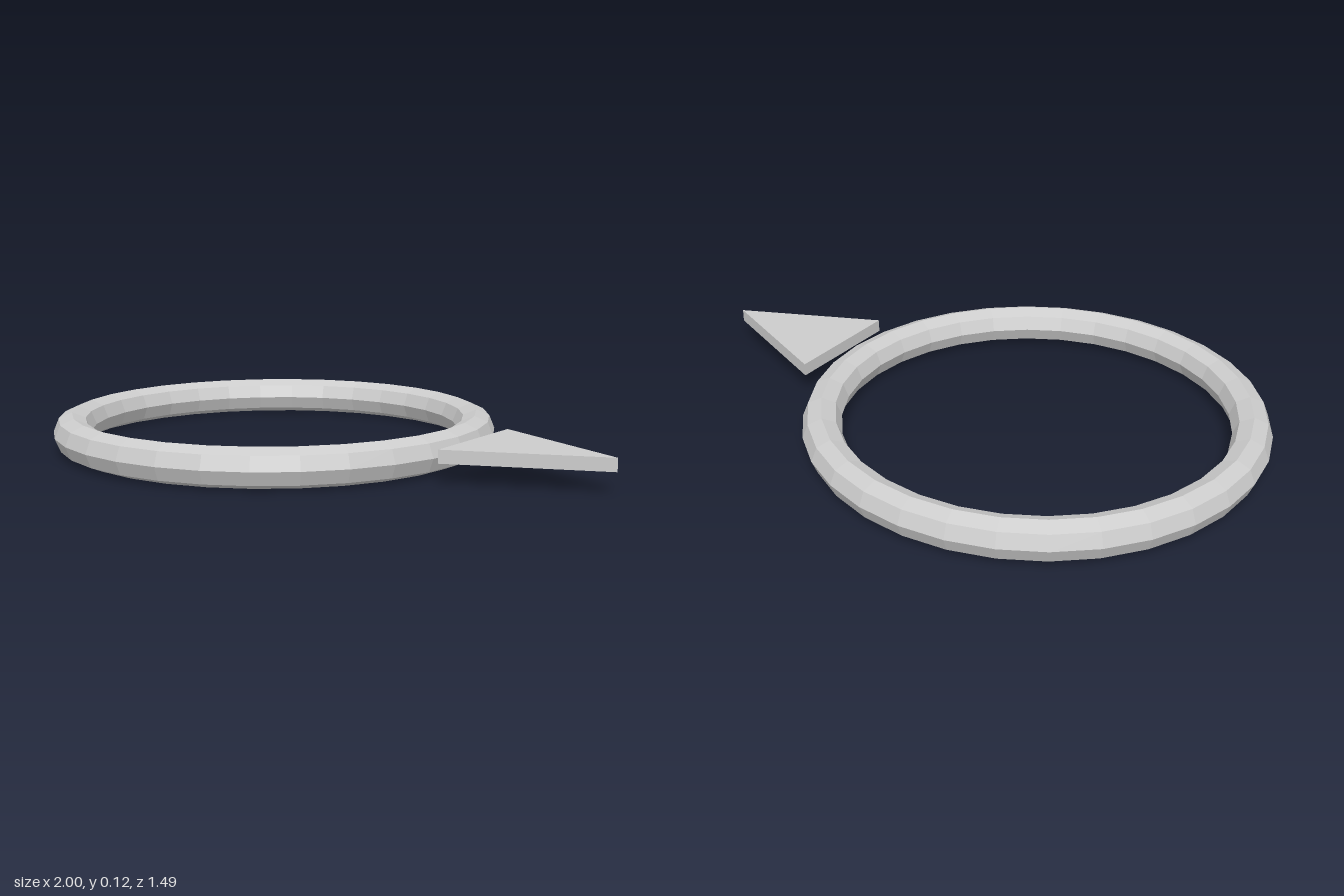
import * as THREE from 'three';

export function createModel() {
  const model = new THREE.Group();
  const grey = new THREE.MeshStandardMaterial({ color: 0xcccccc, flatShading: true });
  grey.name = 'grey';

  // Faceted ring with an octagonal section, lying flat
  const ringGeometry = new THREE.TorusGeometry(0.683, 0.0625, 8, 32);
  ringGeometry.rotateX(-Math.PI / 2);
  const ring = new THREE.Mesh(ringGeometry, grey);
  ring.name = 'ring';
  ring.position.set(-0.255, 0.0625, 0);
  model.add(ring);

  // Thin triangular pointer beside the ring, tip toward +x
  const outline = new THREE.Shape([
    new THREE.Vector2(0.53, -0.207),
    new THREE.Vector2(1, 0),
    new THREE.Vector2(0.53, 0.207),
  ]);
  const pointerGeometry = new THREE.ExtrudeGeometry(outline, { depth: 0.042, bevelEnabled: false });
  pointerGeometry.rotateX(-Math.PI / 2);
  const pointer = new THREE.Mesh(pointerGeometry, grey);
  pointer.name = 'pointer';
  pointer.position.y = 0.065;
  model.add(pointer);

  return model;
}
